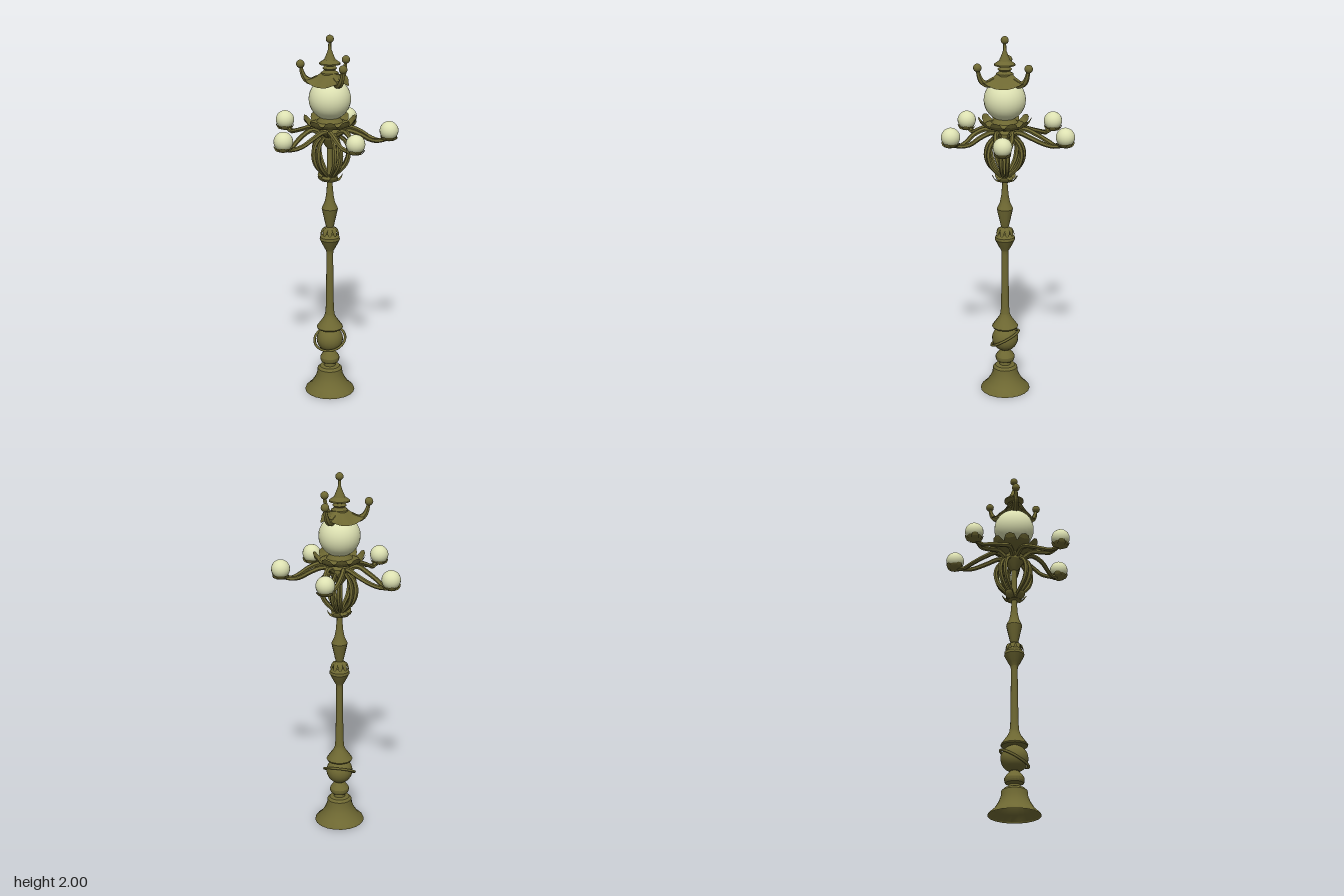
import * as THREE from 'three';
import { toCreasedNormals } from 'three/addons/utils/BufferGeometryUtils.js';

const bronze = new THREE.MeshStandardMaterial({ color: 0x6e6832, side: THREE.DoubleSide });
const bronzeFlat = new THREE.MeshStandardMaterial({ color: 0x6e6832, side: THREE.DoubleSide, flatShading: true });
const glass = new THREE.MeshStandardMaterial({ color: 0xdde1b2 });

function add(parent, name, geometry, material, x = 0, y = 0, z = 0) {
  const mesh = new THREE.Mesh(geometry, material);
  mesh.name = name;
  mesh.position.set(x, y, z);
  parent.add(mesh);
  return mesh;
}

function group(parent, name, angle = 0) {
  const g = new THREE.Group();
  g.name = name;
  g.rotation.y = -angle;
  parent.add(g);
  return g;
}

// Turned part from [radius, height] pairs
function turned(points, sides = 20) {
  const lathe = new THREE.LatheGeometry(points.map(([r, y]) => new THREE.Vector2(r, y)), sides);
  return toCreasedNormals(lathe, 0.5);
}

// Bar along a smooth path, with a radius that varies along it
function bar(points, radius, steps = 14, sides = 6) {
  const curve = new THREE.CatmullRomCurve3(points.map(p => new THREE.Vector3(...p)));
  const geo = new THREE.TubeGeometry(curve, steps, 1, sides);
  const pos = geo.attributes.position, v = new THREE.Vector3();
  for (let i = 0; i < pos.count; i++) {
    const t = Math.floor(i / (sides + 1)) / steps;
    const c = curve.getPointAt(t);
    v.fromBufferAttribute(pos, i).sub(c).multiplyScalar(radius(t)).add(c);
    pos.setXYZ(i, v.x, v.y, v.z);
  }
  geo.computeVertexNormals();
  return geo;
}

// Pointed leaf running outward along x, following [radius, height] pairs
function leaf(path, width, fold = 0.15) {
  const curve = new THREE.SplineCurve(path.map(([r, y]) => new THREE.Vector2(r, y)));
  const geo = new THREE.PlaneGeometry(1, 1, 4, 8);
  const pos = geo.attributes.position;
  for (let i = 0; i < pos.count; i++) {
    const t = pos.getY(i) + 0.5, p = curve.getPoint(t), side = pos.getX(i);
    const w = width * Math.min(1, 0.55 + t) * Math.sqrt(Math.max(0, 1 - t ** 3));
    pos.setXYZ(i, p.x, p.y + Math.abs(side) * w * fold, side * w);
  }
  geo.computeVertexNormals();
  return geo;
}

function leafRing(parent, name, count, path, width, start = 0) {
  const ring = group(parent, name, start), geo = leaf(path, width);
  for (let i = 0; i < count; i++) {
    add(ring, 'leaf', geo, bronzeFlat).rotation.y = -i * 2 * Math.PI / count;
  }
  return ring;
}

// Domed cap whose rim sweeps out and up into three points
function capGeometry() {
  const geo = new THREE.PlaneGeometry(1, 1, 36, 8);
  const pos = geo.attributes.position;
  for (let i = 0; i < pos.count; i++) {
    const a = pos.getX(i) * Math.PI * 2, t = 0.5 - pos.getY(i);
    const lobe = ((1 + Math.cos(3 * a)) / 2) ** 2;
    const r = 0.025 + t * (0.075 + 0.035 * lobe);
    const y = 1.825 - 0.085 * t ** 0.8 + 0.03 * lobe * t ** 3;
    pos.setXYZ(i, r * Math.cos(a), y, r * Math.sin(a));
  }
  geo.computeVertexNormals();
  return geo;
}

export function createModel() {
  const model = new THREE.Group();
  model.name = 'streetLamp';
  const lamp = group(model, 'lamp');
  lamp.position.set(0.005, 0, 0.025);

  // Foot, ball and tilted ring
  add(lamp, 'base', turned([[0.138, 0], [0.135, 0.008], [0.105, 0.035], [0.083, 0.07], [0.071, 0.1],
    [0.068, 0.13], [0.055, 0.143], [0.032, 0.147], [0.03, 0.163], [0.048, 0.172], [0.053, 0.183],
    [0.053, 0.198], [0.044, 0.213], [0.024, 0.235], [0.03, 0.25]]), bronze);
  add(lamp, 'ball', new THREE.SphereGeometry(0.073, 20, 14), bronze, 0, 0.305, 0);
  const ringTilt = group(lamp, 'ringHolder');
  ringTilt.position.y = 0.305;
  ringTilt.rotation.x = 0.53;
  add(ringTilt, 'ring', new THREE.TorusGeometry(0.086, 0.007, 6, 32), bronze).rotation.x = Math.PI / 2;

  // Column
  add(lamp, 'column', turned([[0, 0.373], [0.07, 0.373], [0.073, 0.38], [0.055, 0.405], [0.034, 0.435],
    [0.026, 0.455], [0.022, 0.5], [0.018, 0.8], [0.02, 0.825], [0.032, 0.845], [0.055, 0.89], [0.053, 0.905],
    [0.035, 0.925], [0.034, 0.945], [0.02, 0.962], [0.024, 0.975], [0.044, 1.065], [0.04, 1.075],
    [0.028, 1.1], [0.02, 1.14], [0.015, 1.2], [0.015, 1.45]], 14), bronze);
  leafRing(lamp, 'columnCollar', 10, [[0.025, 0.955], [0.04, 0.945], [0.052, 0.915]], 0.03);

  // Leafy cup under the brackets
  add(lamp, 'lowerCup', turned([[0.015, 1.215], [0.035, 1.22], [0.045, 1.235], [0.03, 1.25], [0.015, 1.255]]), bronze);
  leafRing(lamp, 'lowerLeaves', 5, [[0.015, 1.22], [0.045, 1.222], [0.062, 1.24], [0.068, 1.258]], 0.055, -Math.PI / 2);

  // Hub and leaf crown below the main globe
  add(lamp, 'hub', turned([[0.015, 1.4], [0.03, 1.42], [0.055, 1.46], [0.055, 1.49], [0.04, 1.505],
    [0.075, 1.52], [0.105, 1.535], [0.07, 1.545], [0.05, 1.57], [0, 1.575]]), bronze);
  leafRing(lamp, 'upperLeaves', 10, [[0.04, 1.51], [0.085, 1.515], [0.122, 1.535], [0.142, 1.57]], 0.082);

  // Five looped arms, each with a globe and a bowed bracket
  const globes = [[-0.003, -0.335], [0.295, -0.1], [0.207, 0.222], [-0.158, 0.283], [-0.308, -0.163]];
  const globeGeo = new THREE.SphereGeometry(0.05, 20, 14);
  globes.forEach(([x, z]) => {
    const arm = group(lamp, 'arm', Math.atan2(z, x));
    const length = Math.hypot(x, z);
    for (const s of [-1, 1]) {
      add(arm, 'armBar', bar([[0.03, 1.47, s * 0.02], [0.09, 1.505, s * 0.04], [0.16, 1.483, s * 0.042],
        [length - 0.1, 1.452, s * 0.03], [length - 0.055, 1.44, s * 0.008], [length - 0.015, 1.447, 0]],
        t => 0.014 - 0.003 * t), bronzeFlat);
      add(arm, 'bracket', bar([[0.02, 1.245, s * 0.006], [0.045, 1.27, s * 0.012], [0.085, 1.32, s * 0.016],
        [0.1, 1.38, s * 0.018], [0.085, 1.435, s * 0.016], [0.045, 1.47, s * 0.01]],
        t => 0.008 + 0.005 * Math.sin(Math.PI * t)), bronzeFlat);
    }
    const cup = group(arm, 'globeCup');
    cup.position.set(length, 0, 0);
    add(cup, 'cupBowl', turned([[0, 1.437], [0.02, 1.44], [0.036, 1.453], [0.042, 1.463]], 12), bronze);
    leafRing(cup, 'cupLeaves', 4, [[0.01, 1.437], [0.036, 1.445], [0.05, 1.468]], 0.045, Math.PI / 4);
    add(arm, 'smallGlobe', globeGeo, glass, length, 1.493, 0);
  });

  // Main globe
  add(lamp, 'mainGlobe', new THREE.SphereGeometry(0.111, 28, 18), glass, 0, 1.665, 0);

  // Three-pointed cap with balls on curled prongs
  const crown = group(lamp, 'crown', -74 * Math.PI / 180);
  add(crown, 'cap', capGeometry(), bronzeFlat);
  for (let i = 0; i < 3; i++) {
    const prong = group(crown, 'prong', i * 2 * Math.PI / 3);
    add(prong, 'prongHorn', bar([[0.06, 1.768, 0], [0.1, 1.757, 0], [0.13, 1.775, 0], [0.146, 1.81, 0],
      [0.152, 1.845, 0]], t => 0.024 - 0.016 * t), bronzeFlat);
    add(prong, 'prongBall', new THREE.SphereGeometry(0.022, 14, 10), bronze, 0.153, 1.847, 0);
  }

  // Finial
  add(lamp, 'finial', turned([[0.045, 1.79], [0.045, 1.805], [0.025, 1.815], [0.038, 1.828], [0.025, 1.84],
    [0.055, 1.848], [0.055, 1.855], [0.03, 1.872], [0.018, 1.9], [0.009, 1.925], [0.007, 1.975]]), bronze);
  add(lamp, 'finialBall', new THREE.SphereGeometry(0.021, 14, 10), bronze, 0, 1.979, 0);

  return model;
}
